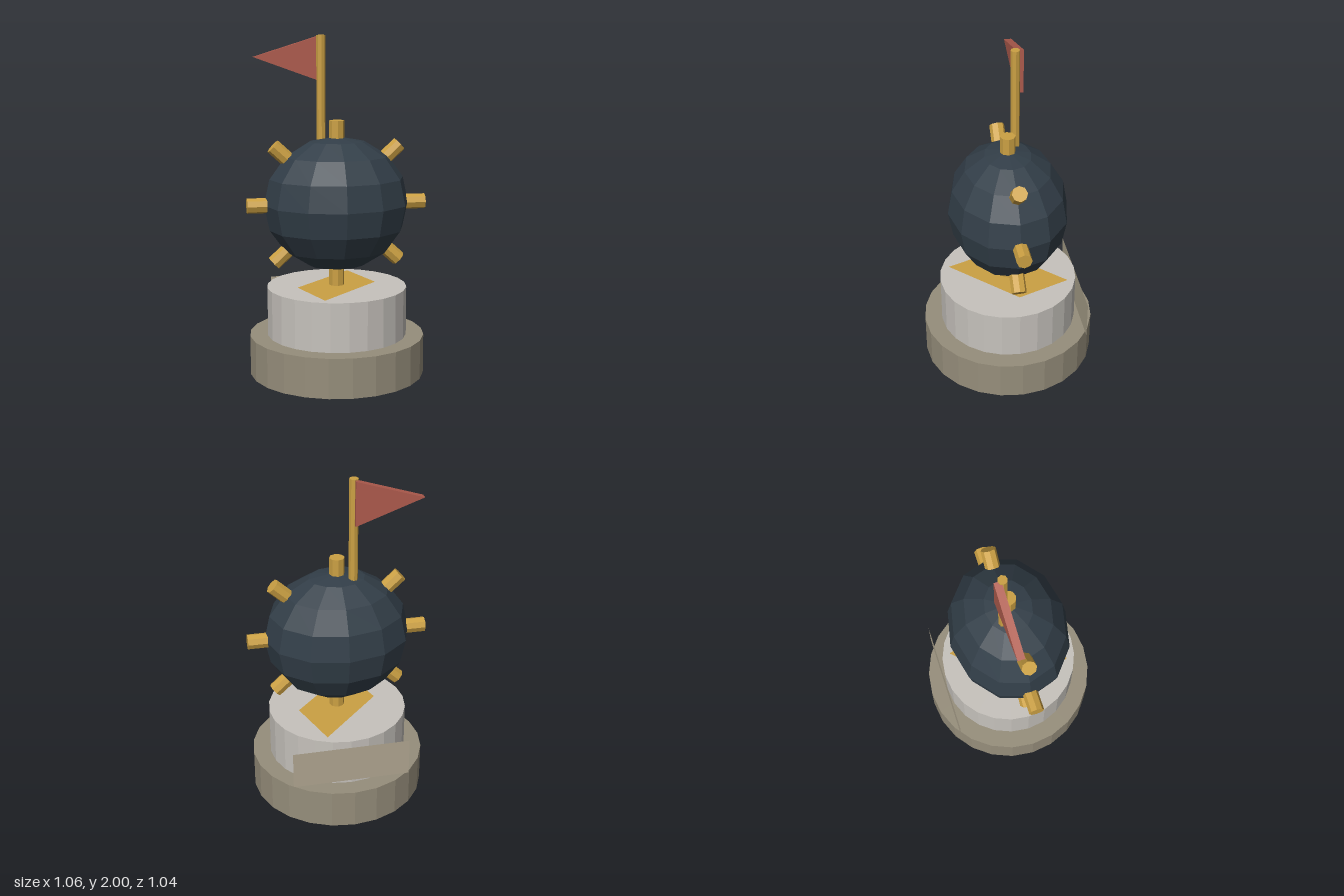
import * as THREE from 'three';

const mat = (name, color, extra = {}) => {
  const m = new THREE.MeshStandardMaterial({ color, ...extra });
  m.name = name;
  return m;
};

export function createModel() {
  const model = new THREE.Group();
  model.name = 'spikedBallOnPedestal';

  const flat = { flatShading: true };
  const stone = mat('darkStone', 0x968e7b, flat);
  const marble = mat('paleStone', 0xc6c2bc, flat);
  const gold = mat('gold', 0xcba043, flat);
  const navy = mat('darkSteel', 0x323e48, flat);
  const red = mat('flagRed', 0xb05c4e, flat);
  const beige = mat('plaqueBeige', 0xb0a690, { side: THREE.DoubleSide });

  const add = (name, geometry, material, x = 0, y = 0, z = 0, parent = model) => {
    const mesh = new THREE.Mesh(geometry, material);
    mesh.name = name;
    mesh.position.set(x, y, z);
    parent.add(mesh);
    return mesh;
  };

  // Stepped round pedestal
  add('baseStep', new THREE.CylinderGeometry(0.52, 0.52, 0.235, 24), stone, 0, 0.1175, 0);
  add('upperStep', new THREE.CylinderGeometry(0.415, 0.415, 0.29, 24), marble, 0, 0.38, 0);

  // Thin flat plaque on the back
  add('backPlaque', new THREE.PlaneGeometry(0.693, 0.23).rotateY(Math.PI), beige, 0, 0.373, -0.424);

  // Gold inlay lying on the pedestal top
  const inlay = new THREE.Shape([
    [-0.128, -0.347], [0.24, 0.03], [0.128, 0.347], [-0.24, -0.03],
  ].map(([x, y]) => new THREE.Vector2(x, y)));
  add('topInlay', new THREE.ShapeGeometry(inlay).rotateX(-Math.PI / 2), gold, 0, 0.527, 0);

  // Faceted ball, widest from side to side
  const centreY = 1.02;
  add('ball', new THREE.SphereGeometry(1, 12, 8).scale(0.43, 0.397, 0.355), navy, 0, centreY, 0);

  // Eight studs around the ball in the front plane
  const studs = new THREE.Group();
  studs.name = 'studs';
  studs.position.y = centreY;
  model.add(studs);
  const length = 0.2;
  for (let i = 0; i < 8; i++) {
    const a = (i * Math.PI) / 4;
    const tip = new THREE.Vector3(0.53 * Math.cos(a), 0.49 * Math.sin(a), 0);
    const dir = tip.clone().normalize();
    const p = tip.addScaledVector(dir, -length / 2);
    const stud = add('stud', new THREE.CylinderGeometry(0.045, 0.045, length, 8), gold, p.x, p.y, 0, studs);
    stud.rotation.z = Math.atan2(dir.y, dir.x) - Math.PI / 2;
  }

  // Flagpole and pennant
  add('flagPole', new THREE.CylinderGeometry(0.027, 0.027, 0.7, 8), gold, -0.083, 1.65, -0.057);
  const pennant = new THREE.Shape([
    new THREE.Vector2(-0.085, 1.997),
    new THREE.Vector2(-0.475, 1.875),
    new THREE.Vector2(-0.085, 1.733),
  ]);
  add('pennant', new THREE.ExtrudeGeometry(pennant, { depth: 0.042, bevelEnabled: false }), red, 0, 0, -0.105);

  return model;
}
